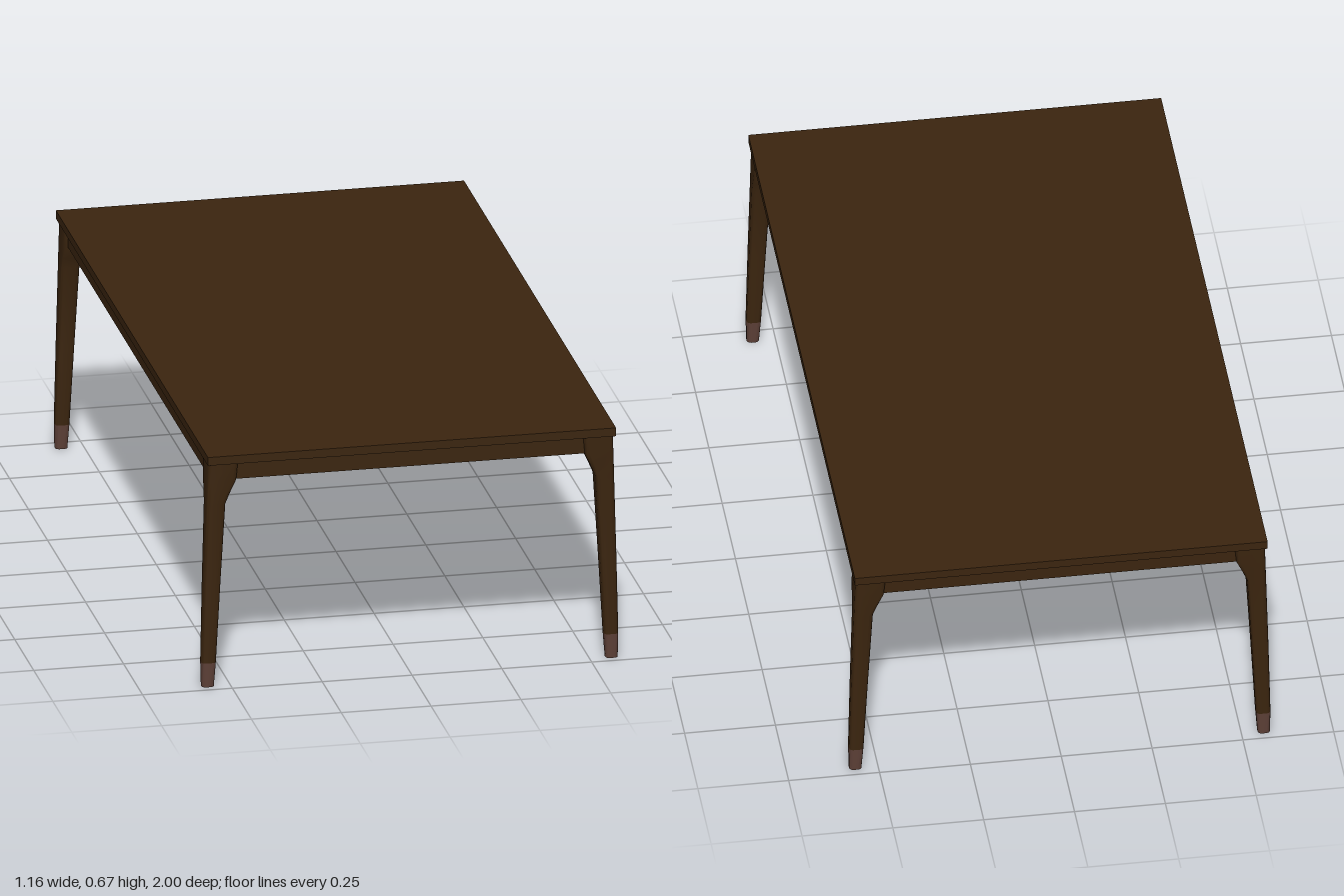
import * as THREE from 'three';
import { toCreasedNormals } from 'three/addons/utils/BufferGeometryUtils.js';

// Leg cross-sections: [y, inner x, outer x, inner z, outer z]
const FOOT = [
  [0, 0.545, 0.579, 0.947, 0.979],
  [0.07, 0.54, 0.58, 0.943, 0.982],
];
const LEG = [
  FOOT[1],
  [0.3, 0.528, 0.574, 0.936, 0.985],
  [0.53, 0.515, 0.567, 0.93, 0.988],
  [0.562, 0.502, 0.566, 0.92, 0.989],
  [0.598, 0.485, 0.565, 0.907, 0.989],
  [0.65, 0.48, 0.563, 0.903, 0.99],
];

// Rounded rectangle ring, mirrored into the corner given by sx, sz
function ring([y, x0, x1, z0, z1], sx, sz) {
  const r = 0.011, points = [];
  const corners = [[x1 - r, z1 - r], [x0 + r, z1 - r], [x0 + r, z0 + r], [x1 - r, z0 + r]];
  corners.forEach(([cx, cz], i) => {
    for (let k = 0; k < 4; k++) {
      const a = (i + k / 3) * Math.PI / 2;
      points.push([sx * (cx + r * Math.cos(a)), y, sz * (cz + r * Math.sin(a))]);
    }
  });
  return sx * sz < 0 ? points.reverse() : points;
}

// Skin over the rings, closed at both ends
function loft(sections, sx, sz) {
  const rings = sections.map((s) => ring(s, sx, sz));
  const n = rings[0].length, last = (rings.length - 1) * n, index = [];
  for (let j = 0; j < rings.length - 1; j++) {
    for (let i = 0; i < n; i++) {
      const a = j * n + i, b = j * n + (i + 1) % n;
      index.push(a, a + n, b, b, a + n, b + n);
    }
  }
  for (let i = 1; i < n - 1; i++) {
    index.push(0, i, i + 1, last, last + i + 1, last + i);
  }
  const geometry = new THREE.BufferGeometry();
  geometry.setAttribute('position', new THREE.Float32BufferAttribute(rings.flat(2), 3));
  geometry.setIndex(index);
  return toCreasedNormals(geometry, 0.7);
}

export function createModel() {
  const model = new THREE.Group();
  model.name = 'table';
  const wood = new THREE.MeshStandardMaterial({ color: 0x3b250f });
  wood.name = 'dark wood';
  const tip = new THREE.MeshStandardMaterial({ color: 0x5d4037 });
  tip.name = 'foot brown';

  const add = (name, geometry, material, x = 0, y = 0, z = 0) => {
    const mesh = new THREE.Mesh(geometry, material);
    mesh.name = name;
    mesh.position.set(x, y, z);
    model.add(mesh);
  };

  // Top board
  add('tableTop', new THREE.BoxGeometry(1.136, 0.024, 2), wood, 0, 0.662, 0);

  // Aprons, set just inside the legs' outer faces
  for (const s of [1, -1]) {
    add(s > 0 ? 'frontApron' : 'backApron',
      new THREE.BoxGeometry(1, 0.052, 0.024), wood, 0, 0.625, s * 0.967);
    add(s > 0 ? 'leftApron' : 'rightApron',
      new THREE.BoxGeometry(0.024, 0.052, 1.84), wood, s * 0.542, 0.625, 0);
  }

  // Four splayed legs with capped feet
  for (const sz of [1, -1]) {
    for (const sx of [1, -1]) {
      const place = (sz > 0 ? 'front' : 'back') + (sx > 0 ? 'Left' : 'Right');
      add(place + 'Leg', loft(LEG, sx, sz), wood);
      add(place + 'Foot', loft(FOOT, sx, sz), tip);
    }
  }
  return model;
}
